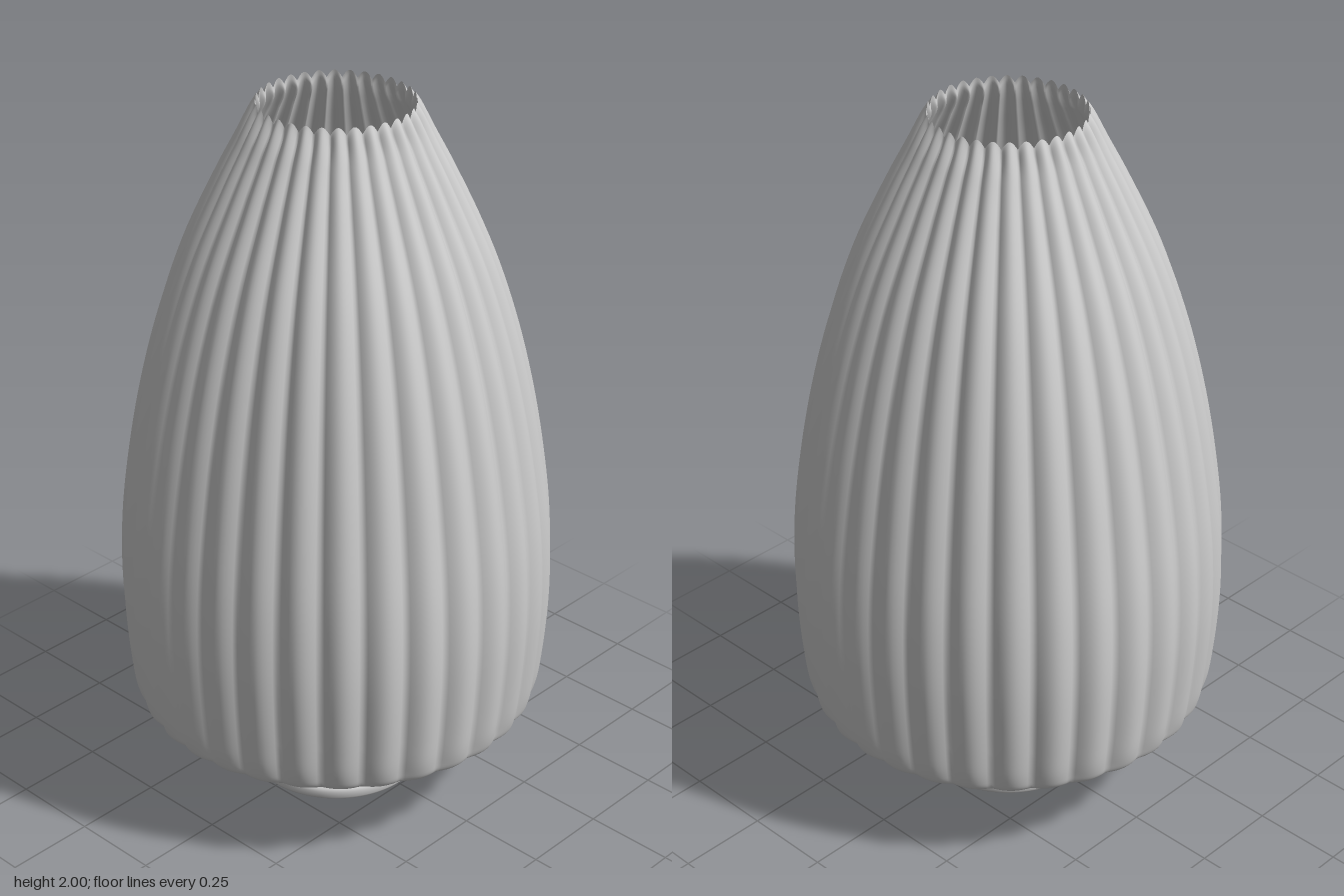
import * as THREE from 'three';
import { mergeVertices } from 'three/addons/utils/BufferGeometryUtils.js';

const RIBS = 32;
const STEPS = 10; // segments per rib

// Smooth run through [radius, height, grooveDepth] points
function run(points, divisions) {
  const curve = new THREE.CatmullRomCurve3(points.map((p) => new THREE.Vector3(...p)), false, 'centripetal');
  return curve.getPoints(divisions);
}

// Turn a profile, then press a sharp groove between every two rounded ribs.
// rimDip lowers the grooves at the very top of the vase.
function flutedLathe(profile, rimDip = 0) {
  const outline = profile.map((p) => new THREE.Vector2(p.x, p.y));
  let geometry = new THREE.LatheGeometry(outline, RIBS * STEPS);
  const pos = geometry.attributes.position;
  for (let i = 0; i < pos.count; i++) {
    const p = profile[i % profile.length];
    const angle = Math.floor(i / profile.length) / (RIBS * STEPS) * Math.PI * 2;
    const groove = 1 - Math.abs(Math.cos(angle * RIBS / 2));
    const r = p.x - p.z * groove;
    const nearRim = THREE.MathUtils.smoothstep(p.y, 1.9, 2);
    pos.setXYZ(i, r * Math.sin(angle), p.y - rimDip * groove * nearRim, r * Math.cos(angle));
  }
  geometry.deleteAttribute('uv');
  geometry.deleteAttribute('normal');
  geometry = mergeVertices(geometry, 1e-5);
  geometry.computeVertexNormals();
  return geometry;
}

export function createModel() {
  const group = new THREE.Group();
  group.name = 'flutedVase';
  const material = new THREE.MeshStandardMaterial({ color: 0xcccccc, side: THREE.DoubleSide });
  const add = (name, geometry) => {
    const mesh = new THREE.Mesh(geometry, material);
    mesh.name = name;
    group.add(mesh);
  };

  // Smooth foot ring with a shallow recess underneath
  const foot = [
    [0, 0.012], [0.215, 0.012], [0.225, 0.003], [0.235, 0], [0.245, 0.002],
    [0.25, 0.01], [0.25, 0.026], [0.246, 0.034], [0.236, 0.04],
  ].map(([r, y]) => new THREE.Vector3(r, y, 0));
  add('foot', flutedLathe(foot));

  // Flared fluted stem, running out into the smooth underside of the body
  add('stem', flutedLathe(run([
    [0.236, 0.04, 0], [0.258, 0.05, 0.016], [0.3, 0.1, 0.02], [0.345, 0.155, 0.02],
    [0.39, 0.21, 0.016], [0.42, 0.237, 0.008], [0.46, 0.247, 0.002], [0.525, 0.25, 0.004],
  ], 24)));

  // Tall body: rounded lower edge, full belly, narrowing to the scalloped rim
  const body = [
    [0.525, 0.25, 0.004], [0.552, 0.262, 0.01], [0.568, 0.3, 0.018], [0.582, 0.4, 0.021],
    [0.594, 0.6, 0.022], [0.587, 0.8, 0.022], [0.562, 1, 0.022], [0.525, 1.2, 0.022],
    [0.474, 1.4, 0.021], [0.405, 1.6, 0.02], [0.312, 1.8, 0.018], [0.26, 1.9, 0.015],
    [0.222, 1.975, 0.01], [0.206, 2, 0],
  ];
  add('body', flutedLathe(run(body, 70), 0.02));

  // Inner wall follows the body and closes at the floor
  const wall = 0.015;
  const inner = [
    [0, 0.05, 0], [0.215, 0.05, 0], [0.36, 0.22, 0.01], [0.43, 0.265, 0.004],
    [0.53, 0.275, 0.01],
    ...body.slice(2, -1).map(([r, y, d], i, all) => [r - wall * (i < all.length - 1 ? 1 : 0.7), y, d]),
    body[body.length - 1],
  ];
  const floor = inner.slice(0, 2).map((p) => new THREE.Vector3(...p));
  const lining = [floor[0], ...run(inner.slice(1), 70)];
  add('innerWall', flutedLathe(lining.reverse(), 0.02));

  return group;
}
